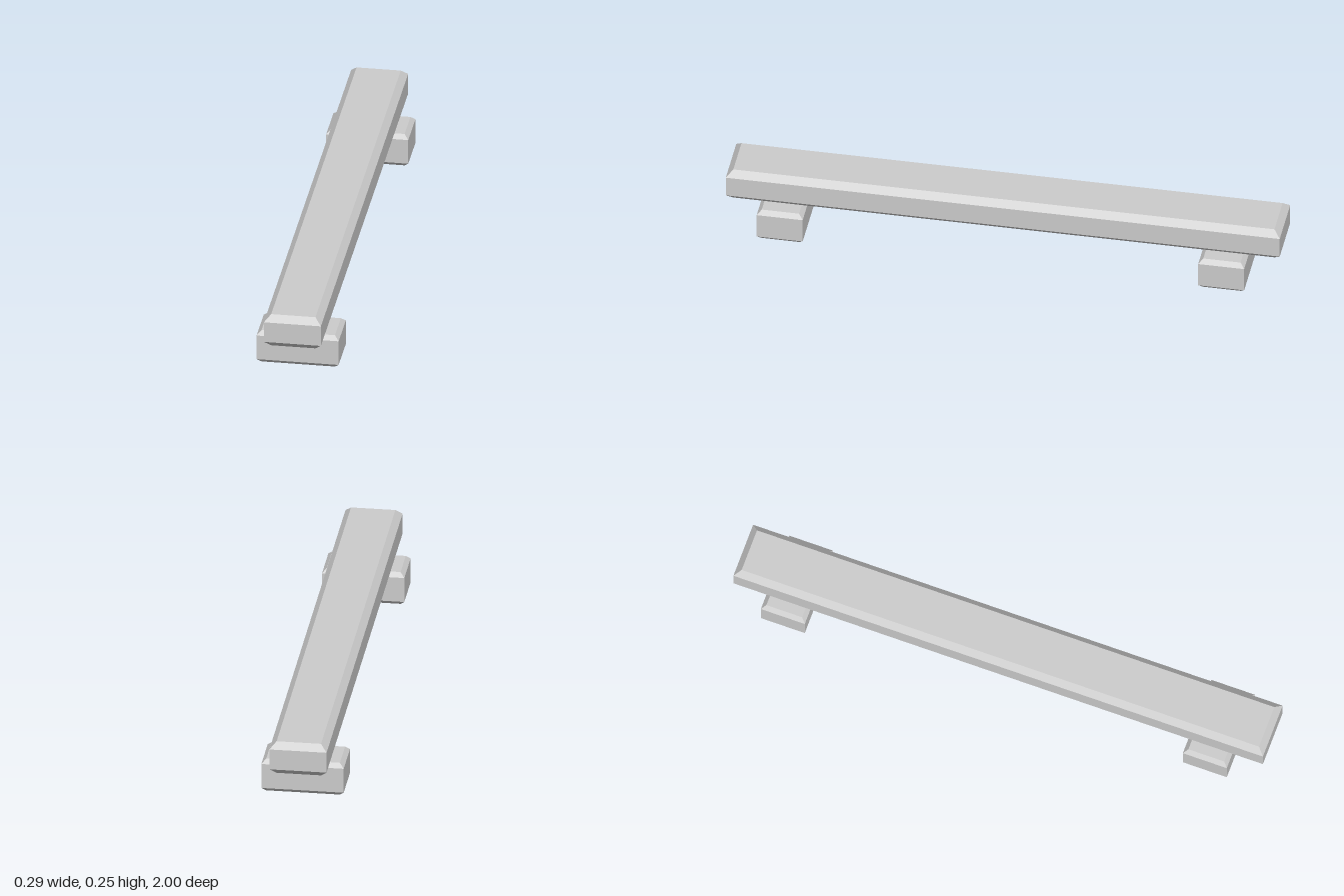
import * as THREE from 'three';

// Box whose top and bottom edges are chamfered; its vertical edges stay sharp
function chamferedBlock(width, height, depth, bevel) {
  const box = new THREE.BoxGeometry(width, height, depth, 1, 3, 1);
  const p = box.attributes.position;
  for (let i = 0; i < p.count; i++) {
    const y = p.getY(i);
    if (Math.abs(y) > height * 0.4) {
      // outer rings move inwards
      p.setX(i, p.getX(i) - Math.sign(p.getX(i)) * bevel);
      p.setZ(i, p.getZ(i) - Math.sign(p.getZ(i)) * bevel);
    } else {
      // middle rings mark where the chamfers begin
      p.setY(i, Math.sign(y) * (height / 2 - bevel));
    }
  }
  const flat = box.toNonIndexed();
  flat.computeVertexNormals();
  return flat;
}

export function createModel() {
  const group = new THREE.Group();
  group.name = 'beamOnFeet';
  const grey = new THREE.MeshStandardMaterial({ color: 0xcccccc });
  grey.name = 'light grey';
  grey.flatShading = true;

  // Long beam
  const beam = new THREE.Mesh(chamferedBlock(0.205, 0.124, 2, 0.023), grey);
  beam.name = 'beam';
  beam.position.y = 0.187;
  group.add(beam);

  // Cross feet, one near each end
  const footGeometry = chamferedBlock(0.295, 0.125, 0.166, 0.0155);
  for (const [name, side] of [['frontFoot', 1], ['backFoot', -1]]) {
    const foot = new THREE.Mesh(footGeometry, grey);
    foot.name = name;
    foot.position.set(0, 0.0625, side * 0.797);
    group.add(foot);
  }
  return group;
}
